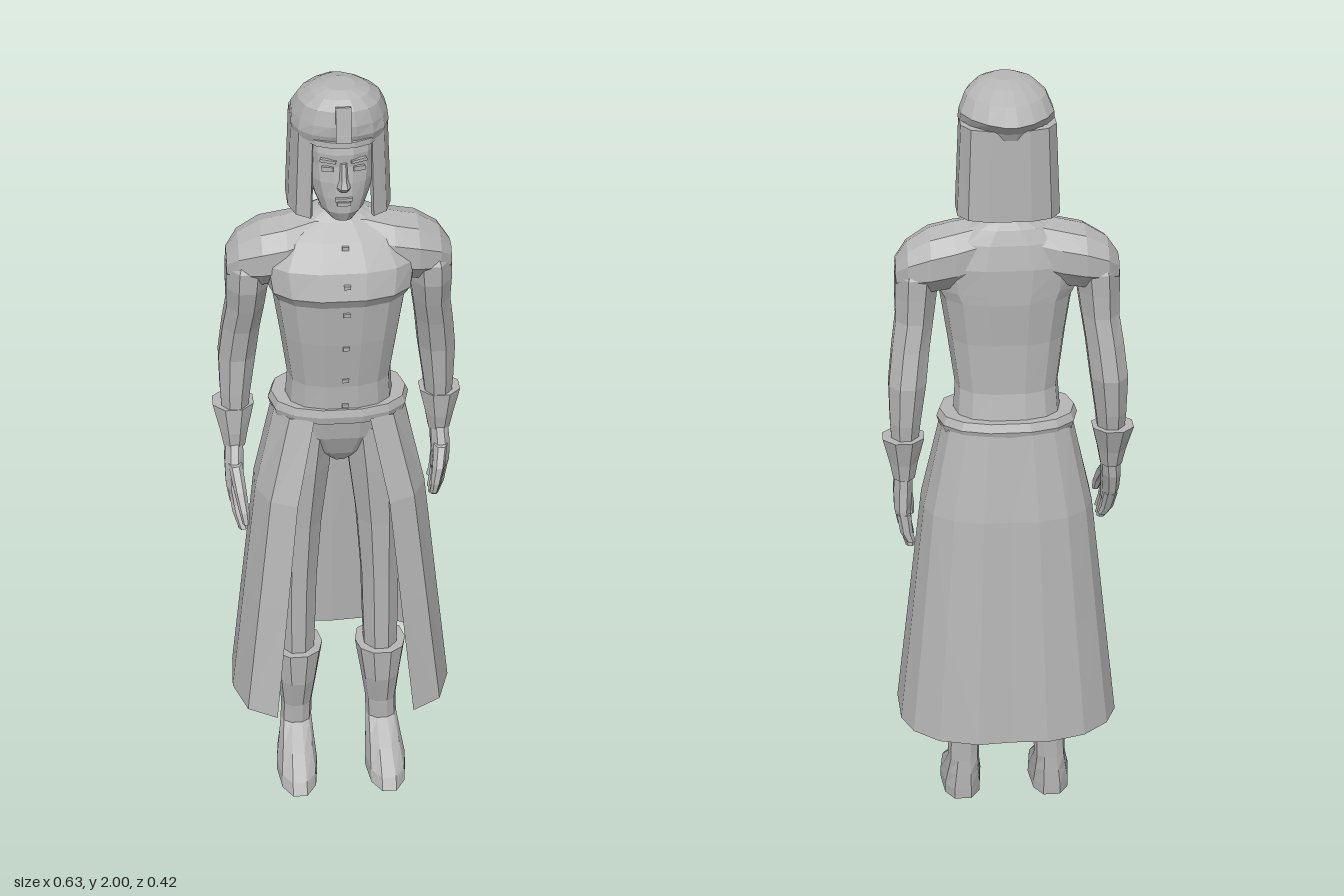
import * as THREE from 'three';

const grey = new THREE.MeshStandardMaterial({ color: 0xb6b6b6, side: THREE.DoubleSide });
grey.name = 'stone grey';

function add(parent, name, geometry) {
  const flat = geometry.index ? geometry.toNonIndexed() : geometry;
  flat.computeVertexNormals();
  const mesh = new THREE.Mesh(flat, grey);
  mesh.name = name;
  parent.add(mesh);
  return mesh;
}

function fromTriangles(points) {
  const g = new THREE.BufferGeometry();
  g.setAttribute('position', new THREE.Float32BufferAttribute(points.flat(), 3));
  return g;
}

// Closed body through horizontal rings [y, centreX, halfWidth, zBack, zFront].
// Exponents shape the front and back halves: 2 round, above 2 boxy, 1 pointed.
function loft(rings, n = 10, front = 2, back = 2) {
  const sorted = [...rings].sort((a, b) => a[0] - b[0]);
  const bend = (v, p) => Math.sign(v) * Math.pow(Math.abs(v), 2 / p);
  const loops = sorted.map(([y, cx, rx, z0, z1]) =>
    Array.from({ length: n }, (_, i) => {
      const a = (i + 0.5) / n * Math.PI * 2;
      const s = Math.sin(a), c = Math.cos(a), p = c > 0 ? front : back;
      return [cx + rx * bend(s, p), y, (z0 + z1) / 2 + (z1 - z0) / 2 * bend(c, p)];
    }));
  const tris = [];
  for (let r = 0; r + 1 < loops.length; r++)
    for (let i = 0; i < n; i++) {
      const j = (i + 1) % n, l = loops[r], u = loops[r + 1];
      tris.push(l[i], l[j], u[j], l[i], u[j], u[i]);
    }
  const low = loops[0], top = loops[loops.length - 1];
  for (let i = 1; i + 1 < n; i++)
    tris.push(low[0], low[i + 1], low[i], top[0], top[i], top[i + 1]);
  return fromTriangles(tris);
}

function box(parent, name, w, h, d, x, y, z, rx = 0, rz = 0) {
  const mesh = add(parent, name, new THREE.BoxGeometry(w, h, d));
  mesh.position.set(x, y, z);
  mesh.rotation.set(rx, 0, rz);
  return mesh;
}

function buildTorso(g) {
  add(g, 'torso', loft([
    [1.10, 0, 0.143, -0.115, 0.095], [1.15, 0, 0.135, -0.105, 0.10],
    [1.22, 0, 0.13, -0.09, 0.103], [1.35, 0, 0.148, -0.09, 0.125],
    [1.46, 0, 0.165, -0.10, 0.138], [1.485, 0, 0.18, -0.10, 0.153],
    [1.55, 0, 0.19, -0.10, 0.135], [1.61, 0, 0.155, -0.088, 0.09],
    [1.645, 0, 0.10, -0.075, 0.05], [1.668, 0, 0.05, -0.06, 0.03]], 14, 2.5, 2.5));
  // Shoulders run sideways: [x, -centreY, halfHeight, zBack, zFront]
  const side = [[0.06, -1.58, 0.082, -0.08, 0.07], [0.13, -1.565, 0.083, -0.093, 0.09],
    [0.19, -1.555, 0.08, -0.098, 0.088], [0.245, -1.54, 0.062, -0.083, 0.065],
    [0.274, -1.525, 0.035, -0.05, 0.035]];
  const across = [...side, ...side.map(([x, ...rest]) => [-x, ...rest])];
  add(g, 'shoulders', loft(across, 10, 2.2, 2.2).rotateZ(-Math.PI / 2));
  add(g, 'neck', loft([
    [1.64, 0, 0.06, -0.07, 0.04], [1.68, 0, 0.042, -0.06, 0.035],
    [1.76, 0, 0.045, -0.06, 0.05]], 10));
  add(g, 'belt', loft([
    [1.115, 0, 0.172, -0.13, 0.108], [1.135, 0, 0.178, -0.135, 0.112],
    [1.155, 0, 0.170, -0.125, 0.107]], 14, 2.4, 2.4));
  add(g, 'hips', loft([
    [0.965, 0, 0.03, -0.07, 0.035], [1.0, 0, 0.09, -0.10, 0.062],
    [1.06, 0, 0.145, -0.115, 0.09], [1.125, 0, 0.15, -0.12, 0.102]], 12, 2.3));
  // Small clasps down the chest
  [[1.6, 0.094], [1.52, 0.143], [1.44, 0.135], [1.34, 0.122], [1.24, 0.105], [1.165, 0.099]]
    .forEach(([y, z]) => box(g, 'clasp', 0.016, 0.009, 0.012, 0.008, y, z));
}

function buildSkirt(g) {
  // Half outline from the open front edge round to the middle of the back
  const top = [[.07, .105], [.13, .085], [.165, .03], [.165, -.04], [.15, -.085], [.11, -.115], [.055, -.13], [0, -.128]];
  const hem = [[.18, .21], [.255, .165], [.29, .06], [.285, -.06], [.255, -.13], [.19, -.185], [.09, -.213], [0, -.207]];
  const rows = [[1.125, 0], [0.9, 0.42], [0.6, 0.7], [0.28, 1]];
  const tris = [];
  for (const s of [1, -1]) {
    const at = (i, [y, k]) => [
      s * THREE.MathUtils.lerp(top[i][0], hem[i][0], k), y,
      THREE.MathUtils.lerp(top[i][1], hem[i][1], k)];
    for (let i = 0; i + 1 < top.length; i++)
      for (let r = 0; r + 1 < rows.length; r++) {
        const a = at(i, rows[r]), b = at(i + 1, rows[r]);
        const c = at(i + 1, rows[r + 1]), d = at(i, rows[r + 1]);
        tris.push(...(s > 0 ? [a, d, c, a, c, b] : [a, c, d, a, b, c]));
      }
  }
  add(g, 'skirt', fromTriangles(tris));
}

function buildLeg(g, s) {
  const leg = new THREE.Group();
  leg.name = s > 0 ? 'leftLeg' : 'rightLeg';
  add(leg, 'trouserLeg', loft([
    [1.08, s * 0.08, 0.073, -0.11, 0.088], [0.95, s * 0.093, 0.073, -0.10, 0.085],
    [0.78, s * 0.103, 0.061, -0.08, 0.072], [0.6, s * 0.108, 0.052, -0.06, 0.062],
    [0.5, s * 0.11, 0.051, -0.06, 0.06], [0.3, s * 0.112, 0.045, -0.05, 0.055]], 8));
  add(leg, 'boot', loft([
    [0.37, s * 0.112, 0.068, -0.07, 0.075], [0.27, s * 0.113, 0.053, -0.055, 0.065],
    [0.18, s * 0.115, 0.042, -0.042, 0.04], [0.12, s * 0.117, 0.042, -0.04, 0.035],
    [0.075, s * 0.119, 0.048, -0.042, 0.115], [0.03, s * 0.121, 0.055, -0.043, 0.188],
    [0.0, s * 0.121, 0.055, -0.042, 0.207]], 10, 2.2, 2.6));
  g.add(leg);
}

function buildArm(g, s) {
  const arm = new THREE.Group();
  arm.name = s > 0 ? 'leftArm' : 'rightArm';
  // The right forearm and hand swing a little further forward
  const swing = y => s > 0 ? 0 : Math.max(0, 1.3 - y) * 0.13 + Math.max(0, 0.97 - y) * 0.35;
  const limb = (name, rings, n) => add(arm, name, loft(
    rings.map(([y, x, r, z0, z1]) => [y, s * x, r, z0 + swing(y), z1 + swing(y)]), n));
  limb('sleeve', [
    [1.57, 0.215, 0.04, -0.065, 0.05],
    [1.525, 0.222, 0.058, -0.092, 0.078], [1.47, 0.226, 0.055, -0.09, 0.074],
    [1.41, 0.23, 0.05, -0.09, 0.055],
    [1.34, 0.241, 0.05, -0.10, 0.03], [1.25, 0.252, 0.05, -0.118, 0.005],
    [1.15, 0.259, 0.041, -0.116, -0.008], [1.02, 0.264, 0.028, -0.10, -0.03]], 8);
  limb('cuff', [
    [1.11, 0.265, 0.056, -0.128, -0.012], [1.04, 0.265, 0.038, -0.108, -0.02],
    [0.995, 0.265, 0.029, -0.10, -0.03]], 8);
  limb('palm', [
    [1.01, 0.265, 0.024, -0.095, -0.03], [0.96, 0.268, 0.026, -0.10, -0.005],
    [0.91, 0.27, 0.023, -0.107, 0.0], [0.87, 0.266, 0.019, -0.107, -0.008]], 8);
  // Fingers held close together
  for (let i = 0; i < 4; i++) {
    const z = -0.106 + i * 0.023, tip = [0.825, 0.803, 0.8, 0.812][i];
    limb('finger', [
      [0.9, 0.268, 0.018, z, z + 0.026], [0.85, 0.262, 0.016, z, z + 0.026],
      [tip, 0.252, 0.012, z + 0.001, z + 0.024]], 6);
  }
  limb('thumb', [
    [0.965, 0.266, 0.018, -0.04, 0.005], [0.92, 0.258, 0.016, -0.01, 0.036],
    [0.875, 0.25, 0.013, 0.013, 0.04], [0.845, 0.246, 0.009, 0.016, 0.034]], 6);
  g.add(arm);
}

function buildHead(g) {
  const head = new THREE.Group();
  head.name = 'head';
  add(head, 'face', loft([
    [1.69, 0, 0.028, 0.045, 0.128], [1.715, 0, 0.054, -0.02, 0.141],
    [1.75, 0, 0.07, -0.05, 0.141], [1.79, 0, 0.082, -0.06, 0.138],
    [1.83, 0, 0.087, -0.08, 0.132], [1.86, 0, 0.09, -0.09, 0.134],
    [1.92, 0, 0.09, -0.09, 0.12]], 14, 2.2));
  // Nose and mouth
  add(head, 'nose', loft([
    [1.772, 0, 0.014, 0.12, 0.146], [1.782, 0, 0.016, 0.12, 0.158],
    [1.80, 0, 0.01, 0.12, 0.15], [1.84, 0, 0.008, 0.12, 0.138]], 6));
  box(head, 'upperLip', 0.04, 0.008, 0.012, 0, 1.752, 0.14);
  box(head, 'lowerLip', 0.032, 0.009, 0.012, 0, 1.741, 0.14);
  for (const s of [1, -1]) {
    box(head, 'eye', 0.028, 0.011, 0.008, s * 0.037, 1.825, 0.126).rotation.y = s * 0.25;
    box(head, 'brow', 0.038, 0.007, 0.01, s * 0.036, 1.846, 0.128, 0, s * 0.1).rotation.y = s * 0.25;
  }
  // Headdress cap with a pointed back
  add(head, 'cap', loft([
    [1.885, 0, 0.114, -0.125, 0.122], [1.905, 0, 0.117, -0.135, 0.13],
    [1.93, 0, 0.114, -0.165, 0.132], [1.965, 0, 0.098, -0.115, 0.125],
    [1.988, 0, 0.07, -0.06, 0.108], [2.0, 0, 0.035, -0.01, 0.08]], 16, 2.4, 1.6));
  box(head, 'capOrnament', 0.036, 0.085, 0.01, 0, 1.935, 0.129, -0.15);
  add(head, 'browBand', loft([
    [1.879, 0, 0.096, -0.08, 0.136], [1.893, 0, 0.096, -0.08, 0.135]], 14, 2.3));
  // Hanging sides and back, a horseshoe in plan, narrowing upward
  const outer = [[.075, .10], [.108, .075], [.124, .02], [.124, -.065], [.10, -.105], [.05, -.123]];
  const inner = [[.04, -.105], [.085, -.09], [.106, -.055], [.106, .015], [.092, .06], [.07, .085]];
  const half = [...outer, ...outer.map(([x, z]) => [-x, z]).reverse()];
  const back = [...inner.map(([x, z]) => [-x, z]).reverse(), ...inner];
  const shape = new THREE.Shape([...half, ...back].map(([x, z]) => new THREE.Vector2(x, -z)));
  const hair = new THREE.ExtrudeGeometry(shape, { depth: 0.225, bevelEnabled: false });
  hair.rotateX(-Math.PI / 2).translate(0, 1.685, 0);
  const p = hair.attributes.position;
  for (let i = 0; i < p.count; i++)
    if (p.getY(i) > 1.8) p.setX(i, p.getX(i) * 0.92);
  add(head, 'hair', hair);
  g.add(head);
}

export function createModel() {
  const model = new THREE.Group();
  model.name = 'standingFigure';
  buildTorso(model);
  buildSkirt(model);
  for (const s of [1, -1]) {
    buildLeg(model, s);
    buildArm(model, s);
  }
  buildHead(model);
  return model;
}
